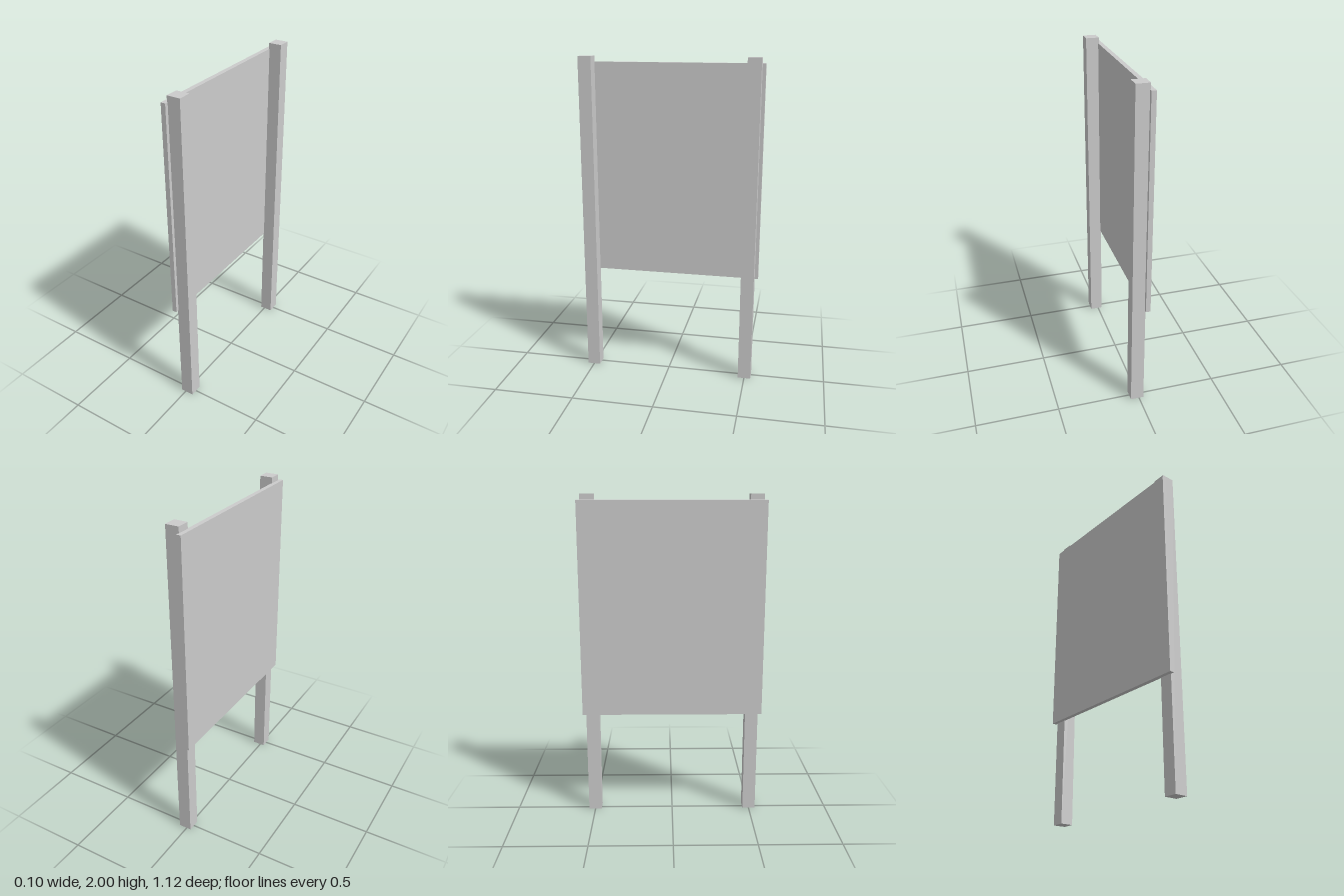
import * as THREE from 'three';

export function createModel() {
  const model = new THREE.Group();
  model.name = 'signBoard';
  const material = new THREE.MeshStandardMaterial({ color: 0xcccccc, flatShading: true });

  function addBox(name, size, position) {
    const mesh = new THREE.Mesh(new THREE.BoxGeometry(...size), material);
    mesh.name = name;
    mesh.position.set(...position);
    model.add(mesh);
  }

  // Two square posts standing on the ground
  addBox('frontPost', [0.08, 2, 0.08], [0.012, 1, 0.5]);
  addBox('backPost', [0.08, 2, 0.08], [0.012, 1, -0.5]);

  // Thin board let slightly into the posts on their -x side
  addBox('panel', [0.028, 1.31, 1.12], [-0.038, 1.31, 0]);

  return model;
}
